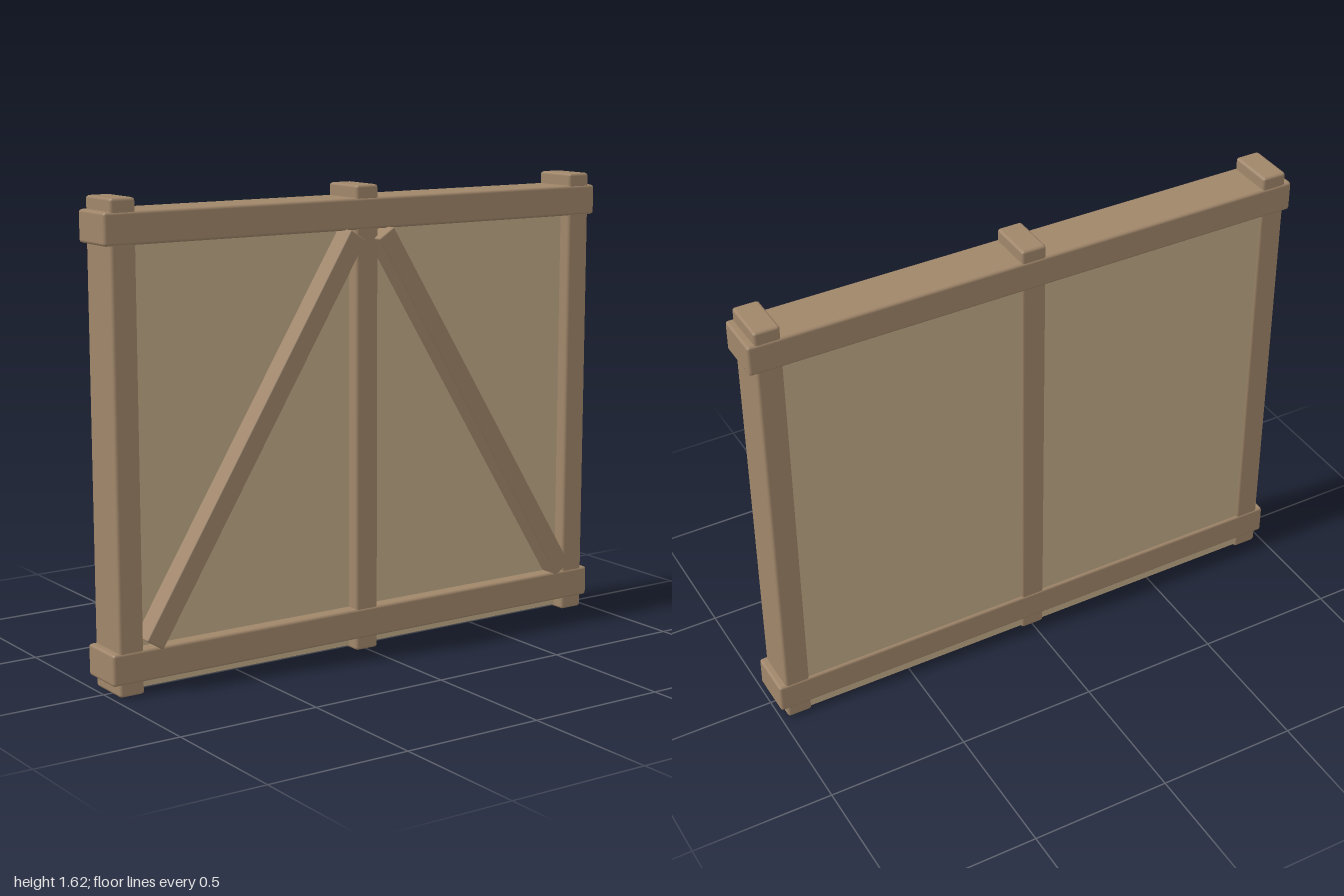
import * as THREE from 'three';
import { RoundedBoxGeometry } from 'three/addons/geometries/RoundedBoxGeometry.js';

export function createModel() {
  const model = new THREE.Group();
  model.name = 'woodenWallPanel';
  const timber = new THREE.MeshStandardMaterial({ color: 0xa0866a });
  timber.name = 'timber';
  const board = new THREE.MeshStandardMaterial({ color: 0xc3ab8a });
  board.name = 'board';

  // Bevelled timber spanning the given bounds
  function beam(name, x0, x1, y0, y1, z0, z1, bevel = 0.01) {
    const geometry = new RoundedBoxGeometry(x1 - x0, y1 - y0, z1 - z0, 1, bevel);
    const mesh = new THREE.Mesh(geometry, timber);
    mesh.name = name;
    mesh.position.set((x0 + x1) / 2, (y0 + y1) / 2, (z0 + z1) / 2);
    model.add(mesh);
    return mesh;
  }

  // Upright posts
  [['rightPost', -0.93], ['middlePost', 0], ['leftPost', 0.93]].forEach(([name, x]) =>
    beam(name, x - 0.045, x + 0.045, 0, 1.62, -0.098, 0.07));

  // Horizontal rails
  beam('bottomRail', -1, 1, 0.042, 0.15, -0.101, 0.073);
  beam('topRail', -1, 1, 1.47, 1.577, -0.101, 0.073);

  // Infill board, set back from the front of the frame
  const panel = new THREE.Mesh(new THREE.BoxGeometry(1.86, 1.52, 0.115), board);
  panel.name = 'infillBoard';
  panel.position.set(0, 0.77, -0.034);
  model.add(panel);

  // Mirrored diagonal braces
  const dx = 0.803, dy = 1.29, length = Math.hypot(dx, dy);
  for (const side of [-1, 1]) {
    const brace = beam(side < 0 ? 'rightBrace' : 'leftBrace',
      -0.036, 0.036, -length / 2, length / 2, 0.02, 0.101, 0.005);
    brace.position.x = side * 0.459;
    brace.position.y = 0.812;
    brace.rotation.z = side * Math.atan2(dx, dy);
  }
  return model;
}
